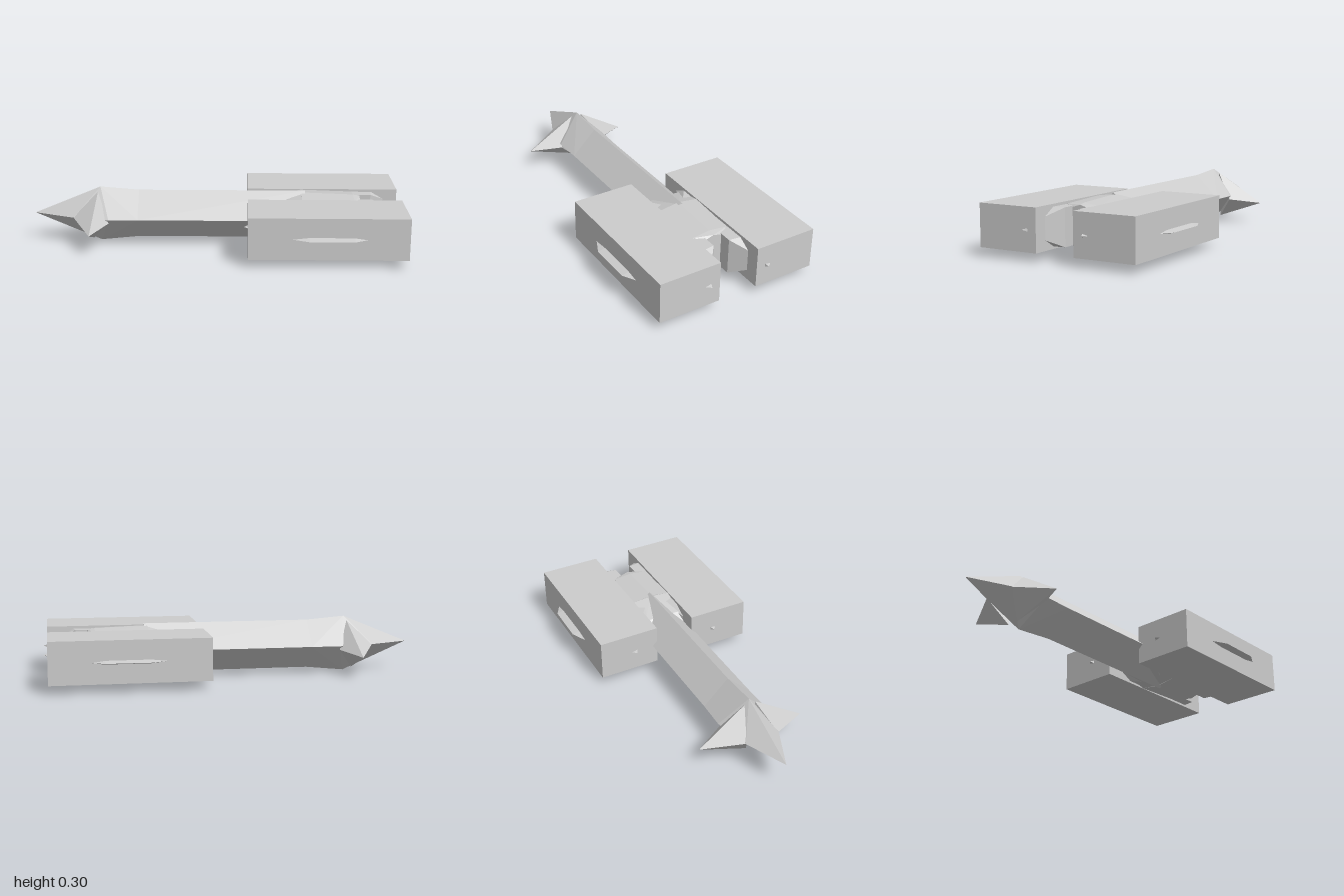
import * as THREE from 'three';
import { ConvexGeometry } from 'three/addons/geometries/ConvexGeometry.js';

const MID = 0.153; // height of the ship's centre plane

export function createModel() {
  const ship = new THREE.Group();
  ship.name = 'spaceship';
  const grey = new THREE.MeshStandardMaterial({ color: 0xcccccc });
  grey.name = 'hull grey';

  // Faceted solid around corner points [x, height above the centre plane, z]
  function facet(name, points, parent = ship) {
    const corners = points.map(([x, y, z]) => new THREE.Vector3(x, MID + y, z));
    const mesh = new THREE.Mesh(new ConvexGeometry(corners), grey);
    mesh.name = name;
    parent.add(mesh);
    return mesh;
  }
  const diamond = (x, h, w) => [[x, h, 0], [x, -h, 0], [x, 0, w], [x, 0, -w]];
  const slab = (x, ridge, h, w) => [
    [x, ridge, 0], [x, -ridge, 0],
    [x, h, w], [x, h, -w], [x, -h, w], [x, -h, -w],
  ];

  // Pointed nose and long diamond-section hull
  facet('nose', [
    [-1, 0, 0], [-0.64, 0.149, 0], [-0.64, -0.153, 0],
    [-0.78, 0, 0.095], [-0.78, 0, -0.095],
    [-0.585, 0, 0.14], [-0.585, 0, -0.14],
    ...diamond(-0.43, 0.132, 0.135),
  ]);
  facet('hull', [...diamond(-0.43, 0.132, 0.135), ...diamond(0.47, 0.132, 0.135)]);

  // Engine body emerging from the rear of the hull
  facet('engineBody', [
    ...slab(0.25, 0.03, 0.02, 0.115),
    ...slab(0.3, 0.076, 0.07, 0.11),
    ...slab(0.45, 0.118, 0.107, 0.108),
  ]);
  facet('engineTail', [
    ...slab(0.45, 0.122, 0.107, 0.108),
    ...slab(0.73, 0.112, 0.1, 0.1),
    ...slab(0.765, 0.105, 0.09, 0.05),
  ]);

  for (const s of [1, -1]) {
    const side = new THREE.Group();
    side.name = s > 0 ? 'frontSide' : 'backSide';
    ship.add(side);
    const part = (name, pts) => facet(name, pts.map(([x, y, z]) => [x, y, z * s]), side);

    // Side fin behind the nose
    part('fin', [
      [-0.67, -0.04, 0.295],
      [-0.78, 0, 0.09], [-0.65, 0.128, 0.03],
      [-0.585, -0.02, 0.135], [-0.68, -0.133, 0.03],
    ]);

    // Large box pod
    const pod = new THREE.Mesh(new THREE.BoxGeometry(0.82, 0.22, 0.335), grey);
    pod.name = 'pod';
    pod.position.set(0.57, MID + 0.001, s * 0.275);
    side.add(pod);

    // Bevelled panel on the inner face of the pod
    part('innerPanel', [
      ...[0.05, -0.05].flatMap((y) => [[0.23, y, 0.12], [0.92, y, 0.12]]),
      ...[0.097, -0.097].flatMap((y) => [[0.32, y, 0.12], [0.84, y, 0.12]]),
      ...[0.097, -0.097].flatMap((y) => [[0.42, y, 0.045], [0.83, y, 0.045]]),
    ]);

    // Thin blade on the outer face
    part('blade', [
      [0.38, 0, 0.44], [0.77, 0, 0.44],
      [0.47, 0.01, 0.44], [0.7, 0.01, 0.44],
      [0.47, -0.01, 0.44], [0.7, -0.01, 0.44],
      [0.47, 0, 0.482], [0.7, 0, 0.48],
    ]);

    // Small spikes on the two ends of the pod
    part('rearSpike', [
      [0.975, 0.01, 0.155], [0.975, -0.01, 0.155], [0.975, 0, 0.195], [1, 0, 0.165],
    ]);
    part('frontSpike', [
      [0.165, 0.01, 0.225], [0.165, -0.01, 0.225], [0.165, 0, 0.265], [0.14, 0, 0.24],
    ]);
  }
  return ship;
}
